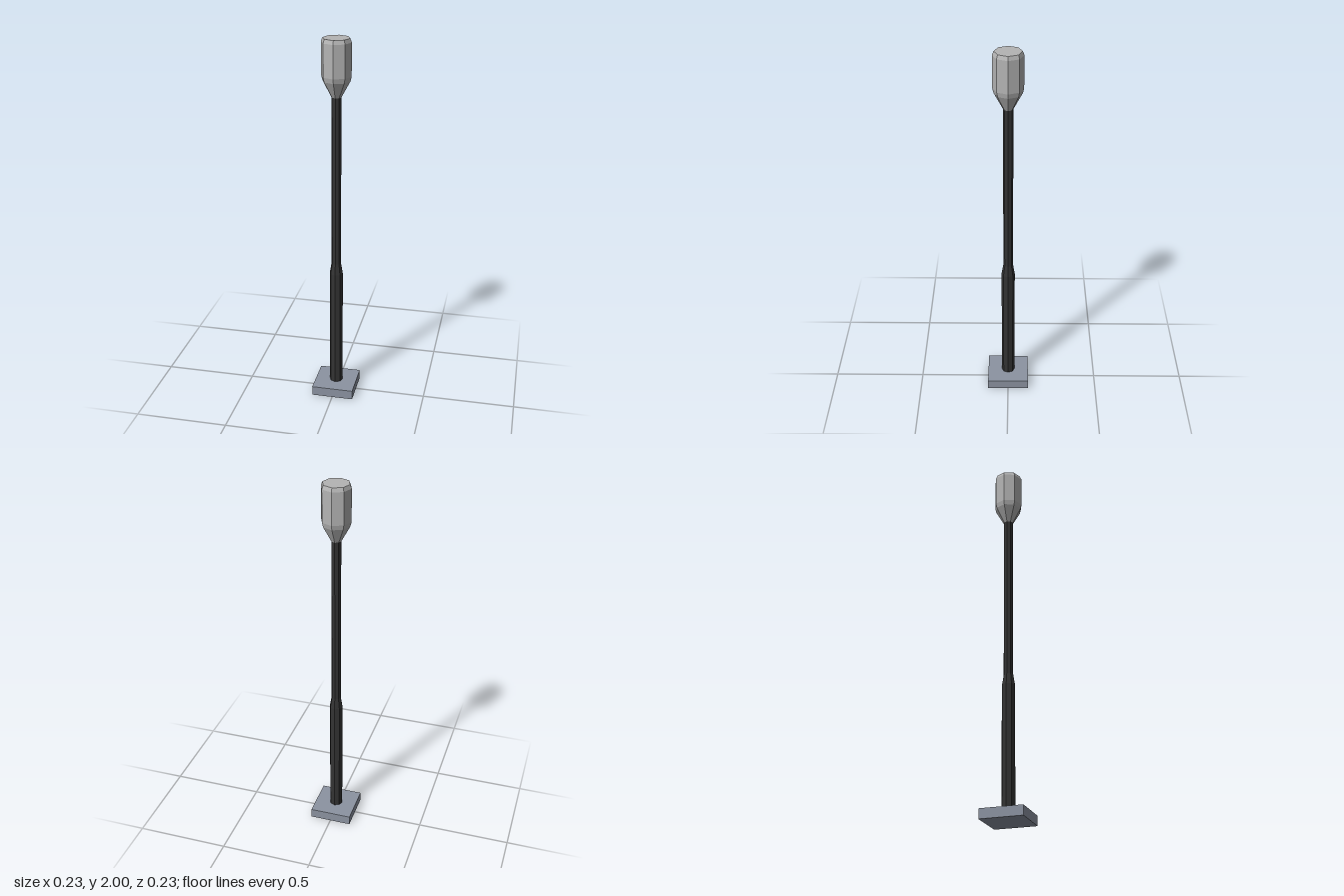
import * as THREE from 'three';

// Faceted, eight-sided turned part; profile runs bottom to top as [radius, height]
function turned(name, profile, color) {
  const points = profile.map(([r, y]) => new THREE.Vector2(r, y));
  const material = new THREE.MeshStandardMaterial({ color, flatShading: true });
  const mesh = new THREE.Mesh(new THREE.LatheGeometry(points, 8), material);
  mesh.name = name;
  return mesh;
}

export function createModel() {
  const group = new THREE.Group();
  group.name = 'bollardLamp';

  // Square foot plate
  const base = new THREE.Mesh(
    new THREE.BoxGeometry(0.228, 0.052, 0.228),
    new THREE.MeshStandardMaterial({ color: 0x8c93a1, flatShading: true })
  );
  base.position.y = 0.026;
  base.name = 'basePlate';
  group.add(base);

  // Stepped post: thick lower sleeve narrowing to a slim upper pole
  group.add(turned('post', [
    [0, 0.05], [0.036, 0.05], [0.036, 0.72], [0.026, 0.78], [0.026, 1.705], [0, 1.705],
  ], 0x333333));

  // Lamp head: funnel, straight body and chamfered top
  group.add(turned('lampHead', [
    [0, 1.7], [0.026, 1.7], [0.072, 1.785], [0.078, 1.81], [0.078, 1.98], [0.07, 2], [0, 2],
  ], 0xb4b4b4));

  return group;
}
